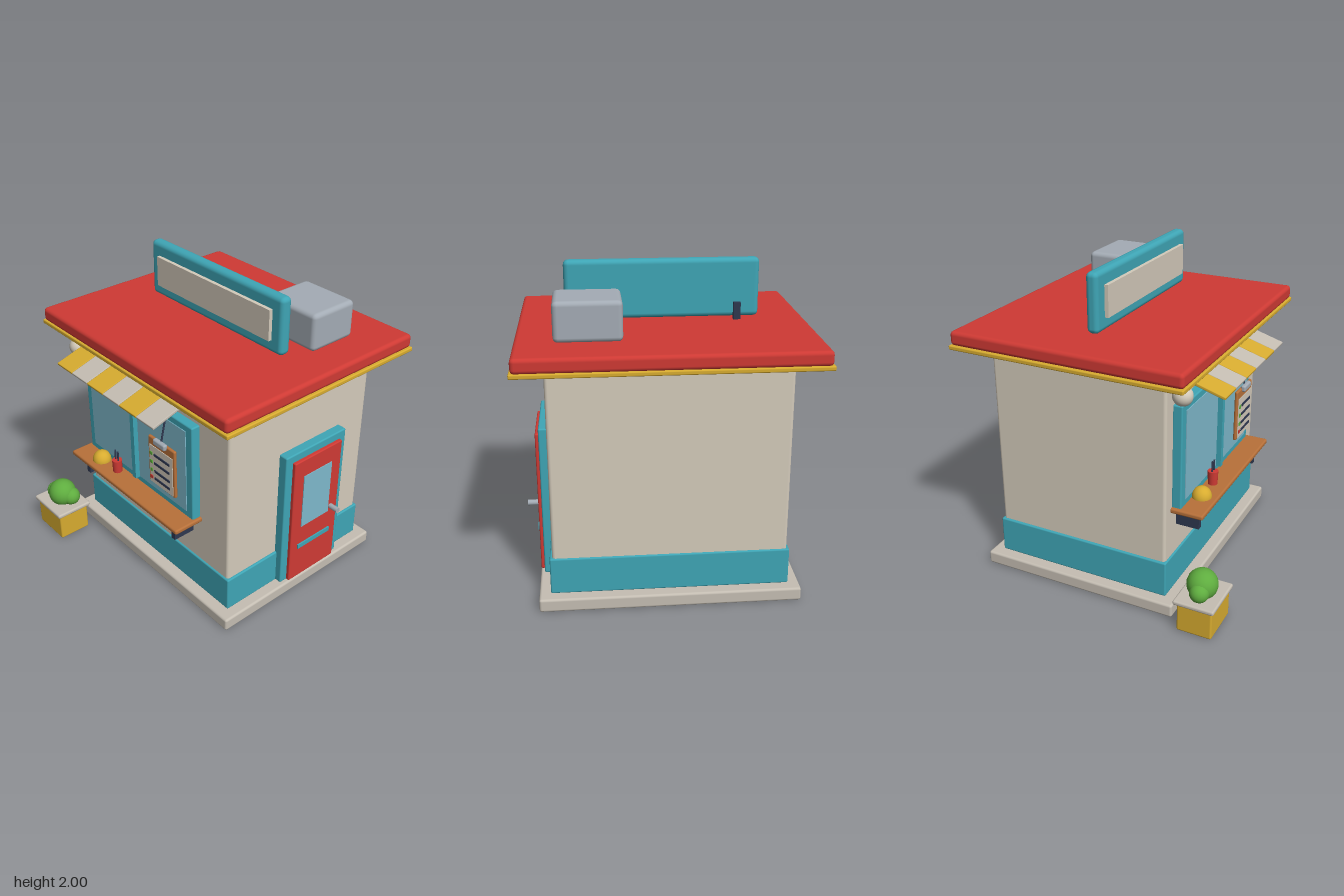
import * as THREE from 'three';
import { RoundedBoxGeometry } from 'three/addons/geometries/RoundedBoxGeometry.js';

export function createModel() {
  const root = new THREE.Group();
  root.name = 'kiosk';
  const mat = (name, color) => {
    const m = new THREE.MeshStandardMaterial({ color });
    m.name = name;
    return m;
  };
  const red = mat('roof red', 0xcf3a34);
  const teal = mat('teal paint', 0x3fa6b6);
  const cream = mat('cream plaster', 0xd4cbbb);
  const concrete = mat('pale concrete', 0xc5beb3);
  const yellow = mat('mustard yellow', 0xd8ac30);
  const grey = mat('metal grey', 0xa4acb5);
  const navy = mat('dark navy', 0x2f3850);
  const wood = mat('brown wood', 0xb8713a);
  const glass = mat('blue glass', 0x7fb9cc);
  const green = mat('leaf green', 0x5fad3f);

  const add = (name, geo, material, x = 0, y = 0, z = 0, parent = root) => {
    const m = new THREE.Mesh(geo, material);
    m.name = name;
    m.position.set(x, y, z);
    parent.add(m);
    return m;
  };
  // Box given by its extents; r > 0 rounds the edges
  const box = (name, material, [x0, x1], [y0, y1], [z0, z1], r = 0, parent = root) => {
    const s = [x1 - x0, y1 - y0, z1 - z0];
    const geo = r ? new RoundedBoxGeometry(...s, 2, r) : new THREE.BoxGeometry(...s);
    return add(name, geo, material, (x0 + x1) / 2, (y0 + y1) / 2, (z0 + z1) / 2, parent);
  };
  // Thin rod between two points
  const rod = (name, material, a, b, r, parent = root) => {
    const p = new THREE.Vector3(...a), q = new THREE.Vector3(...b);
    const d = q.clone().sub(p);
    const m = add(name, new THREE.CylinderGeometry(r, r, d.length(), 12), material, 0, 0, 0, parent);
    m.position.copy(p).add(q).multiplyScalar(0.5);
    m.quaternion.setFromUnitVectors(new THREE.Vector3(0, 1, 0), d.normalize());
    return m;
  };
  const group = (name) => {
    const g = new THREE.Group();
    g.name = name;
    root.add(g);
    return g;
  };

  // Building shell
  box('plinth', concrete, [-0.8, 0.8], [0, 0.085], [-0.765, 0.552], 0.015);
  box('walls', cream, [-0.715, 0.715], [0.08, 1.52], [-0.684, 0.467], 0.02);
  box('baseBand', teal, [-0.73, 0.73], [0.085, 0.32], [-0.694, 0.478], 0.01);
  box('roofTrim', yellow, [-0.895, 0.895], [1.512, 1.54], [-0.858, 0.647], 0.008);
  box('roof', red, [-0.885, 0.885], [1.535, 1.625], [-0.853, 0.642], 0.025);

  // Rooftop sign board and air unit
  const sign = group('roofSign');
  box('signBoard', teal, [-0.597, 0.597], [1.637, 2.0], [-0.1, -0.022], 0.03, sign);
  box('signPanel', cream, [-0.51, 0.517], [1.72, 1.915], [-0.03, 0.002], 0, sign);
  for (const x of [-0.46, 0.463])
    box('signPost', navy, [x - 0.022, x + 0.022], [1.61, 1.73], [-0.127, -0.095], 0, sign);
  box('airUnit', grey, [0.26, 0.66], [1.62, 1.86], [-0.562, -0.222], 0.03);

  // Serving window
  const win = group('servingWindow');
  box('windowFrame', teal, [-0.623, 0.457], [0.645, 1.315], [0.46, 0.525], 0.01, win);
  box('windowGlass', glass, [-0.57, 0.402], [0.695, 1.272], [0.52, 0.53], 0, win);
  box('windowMullion', teal, [-0.102, -0.067], [0.692, 1.275], [0.52, 0.562], 0, win);

  // Counter and its brackets
  const counter = group('counter');
  box('counterTop', wood, [-0.645, 0.475], [0.622, 0.655], [0.46, 0.672], 0.012, counter);
  for (const x of [-0.544, 0.374])
    box('counterBracket', navy, [x - 0.017, x + 0.017], [0.505, 0.625], [0.46, 0.615], 0, counter);

  // Things on the counter
  const dome = new THREE.SphereGeometry(0.062, 24, 10, 0, Math.PI * 2, 0, Math.PI / 2);
  add('bun', dome, yellow, -0.43, 0.655, 0.575).scale.y = 1.08;
  const cup = group('strawCup');
  add('cup', new THREE.CylinderGeometry(0.033, 0.03, 0.09, 20), red, -0.255, 0.698, 0.573, cup);
  for (const x of [-0.269, -0.241])
    rod('straw', navy, [x, 0.7, 0.573], [x, 0.812, 0.573], 0.006, cup);

  // Striped awning, sloping down to the front
  const awning = group('awning');
  const [yTop, zTop, yLow, zLow] = [1.466, 0.492, 1.386, 0.757];
  awning.position.set(-0.083, (yTop + yLow) / 2, (zTop + zLow) / 2);
  awning.rotation.x = Math.atan2(yTop - yLow, zLow - zTop);
  const stripe = new RoundedBoxGeometry(0.16, 0.018, Math.hypot(yTop - yLow, zLow - zTop), 1, 0.005);
  for (let i = 0; i < 6; i++)
    add('awningStripe', stripe, i % 2 ? concrete : yellow, (i - 2.5) * 0.163, 0, 0, awning);

  // Wall lamp
  add('lampGlobe', new THREE.SphereGeometry(0.06, 24, 16), cream, -0.658, 1.4, 0.54);

  // Hanging checklist board
  const list = group('checklist');
  box('clipboard', wood, [0.105, 0.36], [0.785, 1.125], [0.558, 0.58], 0.01, list);
  box('paper', cream, [0.122, 0.343], [0.797, 1.07], [0.576, 0.584], 0, list);
  box('clip', grey, [0.178, 0.29], [1.1, 1.142], [0.57, 0.602], 0.012, list);
  rod('hangingCord', navy, [0.233, 1.3, 0.538], [0.233, 1.125, 0.577], 0.006, list);
  [1.013, 0.952, 0.892, 0.838].forEach((y, i) => {
    box('listLine', navy, [0.17, 0.317], [y - 0.008, y + 0.008], [0.582, 0.589], 0, list);
    box('listMark', i < 3 ? green : red, [0.131, 0.153], [y - 0.011, y + 0.011], [0.582, 0.589], 0, list);
  });

  // Side door
  const door = group('sideDoor');
  box('doorFrame', teal, [0.7, 0.775], [0.088, 1.065], [-0.449, 0.065], 0.01, door);
  box('doorLeaf', red, [0.76, 0.798], [0.09, 1.012], [-0.397, 0.011], 0.008, door);
  box('doorGlass', glass, [0.795, 0.803], [0.5, 0.89], [-0.312, -0.069], 0, door);
  box('doorRail', teal, [0.795, 0.808], [0.334, 0.364], [-0.332, -0.047], 0, door);
  rod('doorKnob', grey, [0.79, 0.53, -0.336], [0.865, 0.53, -0.336], 0.018, door);

  // Planter with a bush
  const planter = group('planter');
  box('planterBox', yellow, [-0.883, -0.603], [0, 0.195], [0.622, 0.843], 0.012, planter);
  box('planterRim', concrete, [-0.903, -0.588], [0.185, 0.215], [0.602, 0.86], 0.012, planter);
  for (const [x, y, z, r] of [
    [-0.745, 0.272, 0.725, 0.095],
    [-0.815, 0.255, 0.735, 0.06],
    [-0.685, 0.258, 0.695, 0.063],
  ]) add('bushLeaf', new THREE.SphereGeometry(r, 20, 14), green, x, y, z, planter);

  return root;
}
